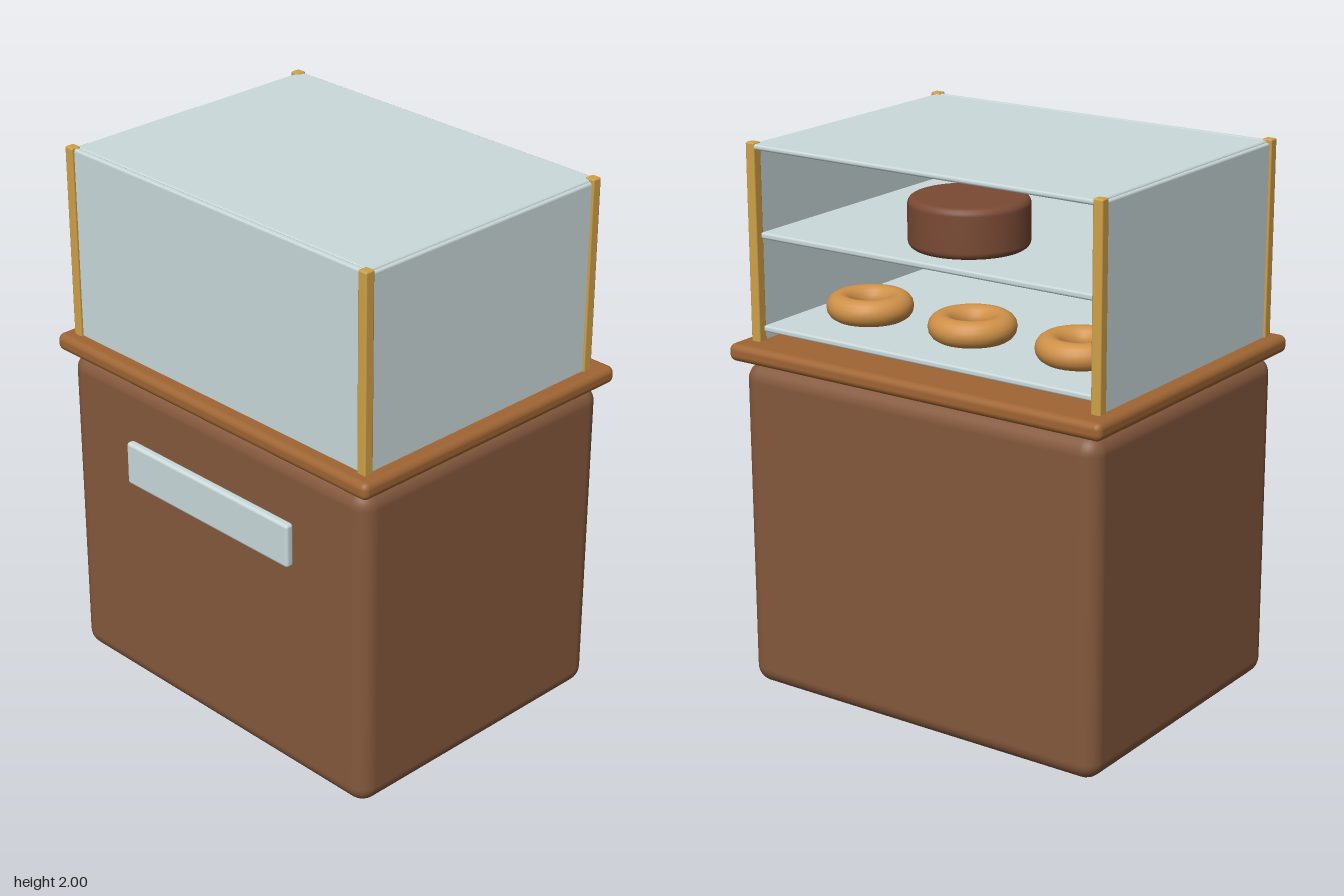
import * as THREE from 'three';
import { RoundedBoxGeometry } from 'three/addons/geometries/RoundedBoxGeometry.js';

function material(name, color) {
  const m = new THREE.MeshStandardMaterial({ color });
  m.name = name;
  return m;
}

export function createModel() {
  const group = new THREE.Group();
  group.name = 'bakeryDisplayCase';

  const wood = material('brown cabinet', 0x85593d);
  const trim = material('counter wood', 0x9f6533);
  const glass = material('pale glass', 0xcbdadb);
  const brass = material('brass', 0xcfa148);
  const dough = material('golden dough', 0xcf9148);
  const chocolate = material('chocolate', 0x7a4a34);

  const add = (name, geometry, mat, x, y, z) => {
    const mesh = new THREE.Mesh(geometry, mat);
    mesh.name = name;
    mesh.position.set(x, y, z);
    group.add(mesh);
    return mesh;
  };
  const box = (name, mat, size, pos, radius, segments) =>
    add(name, new RoundedBoxGeometry(...size, segments, radius), mat, ...pos);

  // Cabinet, counter and front plate
  box('cabinet', wood, [1.485, 1.22, 1.16], [0, 0.612, 0], 0.065, 4);
  box('counter', trim, [1.55, 0.064, 1.22], [0, 1.26, 0], 0.025, 3);
  box('frontPlate', glass, [0.82, 0.164, 0.034], [0, 0.912, 0.593], 0.012, 2);

  // Corner posts
  for (const x of [-0.709, 0.709]) {
    for (const z of [-0.515, 0.545]) {
      box('cornerPost', brass, [0.038, 0.72, 0.038], [x, 1.64, z], 0.006, 2);
    }
  }

  // Glass panels, open at the back
  const r = 0.009;
  box('frontGlass', glass, [1.41, 0.71, 0.024], [0, 1.64, 0.542], r, 1);
  box('topGlass', glass, [1.42, 0.02, 1.065], [0, 1.985, 0], r, 1);
  for (const x of [-0.709, 0.709]) {
    box('sideGlass', glass, [0.022, 0.705, 1.06], [x, 1.635, 0.012], r, 1);
  }

  // Shelves
  for (const y of [1.335, 1.67]) {
    box('shelf', glass, [1.39, 0.024, 1.03], [0, y, 0.005], r, 1);
  }

  // Ring pastries on the lower shelf
  for (const x of [-0.445, 0, 0.445]) {
    const ring = add('ringPastry', new THREE.TorusGeometry(0.108, 0.047, 16, 40), dough, x, 1.393, -0.22);
    ring.rotation.x = -Math.PI / 2;
  }

  // Round cake with softened rims on the middle shelf
  const radius = 0.21, height = 0.175, bevel = 0.025;
  const profile = [new THREE.Vector2(0, 0)];
  for (const [cy, start] of [[bevel, -Math.PI / 2], [height - bevel, 0]]) {
    for (let i = 0; i <= 4; i++) {
      const a = start + (i / 4) * Math.PI / 2;
      profile.push(new THREE.Vector2(radius - bevel + Math.cos(a) * bevel, cy + Math.sin(a) * bevel));
    }
  }
  profile.push(new THREE.Vector2(0, height));
  add('cake', new THREE.LatheGeometry(profile, 48), chocolate, 0, 1.68, -0.235);

  return group;
}
